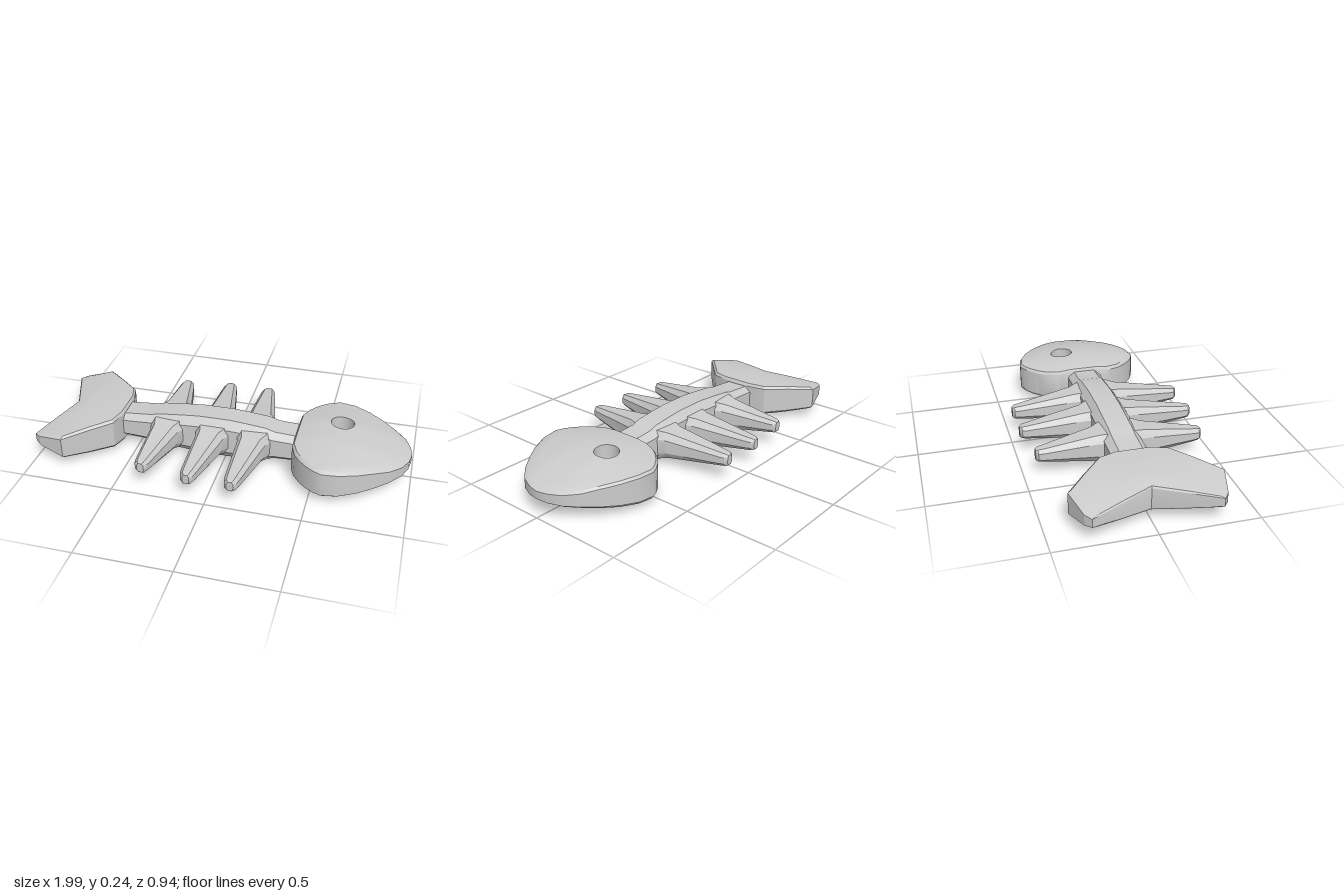
import * as THREE from 'three';
import { mergeVertices, toCreasedNormals } from 'three/addons/utils/BufferGeometryUtils.js';

const MID = 0.118; // height of the plane the toy is mirrored about
const material = new THREE.MeshStandardMaterial({ color: 0xcccccc });

// piecewise linear lookup in [[x, value], ...]
function lookup(table, x) {
  if (x <= table[0][0]) return table[0][1];
  for (let i = 1; i < table.length; i++) {
    const [x0, v0] = table[i - 1], [x1, v1] = table[i];
    if (x <= x1) return v0 + (v1 - v0) * (x - x0) / (x1 - x0);
  }
  return table[table.length - 1][1];
}

// skin a row of equal cross-sections; closed joins last to first, otherwise ends are capped
function loft(rings, closed, crease) {
  const n = rings[0].length, pos = rings.flat(2), index = [];
  const last = closed ? rings.length : rings.length - 1;
  for (let r = 0; r < last; r++) {
    const a = r * n, b = ((r + 1) % rings.length) * n;
    for (let i = 0; i < n; i++) {
      const j = (i + 1) % n;
      index.push(a + i, a + j, b + j, a + i, b + j, b + i);
    }
  }
  if (!closed) {
    const e = (rings.length - 1) * n;
    for (let i = 1; i < n - 1; i++) index.push(0, i + 1, i, e, e + i, e + i + 1);
  }
  // turn the faces outwards when the enclosed volume is negative
  let volume = 0;
  const p = (i) => new THREE.Vector3().fromArray(pos, i * 3);
  for (let i = 0; i < index.length; i += 3) {
    volume += p(index[i]).dot(p(index[i + 1]).cross(p(index[i + 2])));
  }
  if (volume < 0) index.reverse();
  const g = new THREE.BufferGeometry();
  g.setAttribute('position', new THREE.Float32BufferAttribute(pos, 3));
  g.setIndex(index);
  return toCreasedNormals(mergeVertices(g), crease);
}

// domed slab with a plan outline; rings run outwards over the top and back below
function slab(outline, [cx, cz], innerRadius, half, closed, crease) {
  const levels = [[0, 1], [0.2, 1], [0.4, 1], [0.6, 1], [0.8, 1], [0.95, 1], [1, 0.84]];
  const ring = ([t, k], sign) => outline.map(([x, z]) => {
    const d = Math.hypot(x - cx, z - cz), s = (innerRadius + (d - innerRadius) * t) / d;
    const px = cx + (x - cx) * s, pz = cz + (z - cz) * s;
    return [px, MID + sign * k * half(px, pz), pz];
  });
  const rings = [
    ...levels.map((l) => ring(l, 1)),
    ...levels.slice().reverse().map((l) => ring(l, -1)),
  ];
  return loft(rings, closed, crease);
}

// mirror half an outline across z = 0; first and last points lie on the axis
function mirrored(points) {
  return [...points, ...points.slice(1, -1).reverse().map(([x, z]) => [x, -z])];
}

// chamfered rectangle with half sizes a and b
function octagon(a, b, ca, cb) {
  return [[a, cb], [ca, b], [-ca, b], [-a, cb], [-a, -cb], [-ca, -b], [ca, -b], [a, -cb]];
}

function addMesh(parent, name, geometry) {
  const mesh = new THREE.Mesh(geometry, material);
  mesh.name = name;
  parent.add(mesh);
  return mesh;
}

export function createModel() {
  const model = new THREE.Group();
  model.name = 'fishBone';

  // head, with the eye as a hole right through
  const headOutline = mirrored([
    [0.38, 0], [0.38, 0.08], [0.38, 0.15], [0.405, 0.215], [0.44, 0.262], [0.48, 0.3],
    [0.52, 0.327], [0.565, 0.346], [0.65, 0.334], [0.74, 0.295], [0.82, 0.245],
    [0.89, 0.195], [0.95, 0.13], [0.98, 0.06], [0.99, 0],
  ]);
  const headHeight = [[0.38, 0.092], [0.43, 0.101], [0.5, 0.11], [0.58, 0.113], [0.68, 0.107],
    [0.8, 0.083], [0.9, 0.053], [0.96, 0.036], [0.99, 0.025]];
  const headHalf = (x, z) => lookup(headHeight, x) - 0.14 * Math.max(0, Math.abs(z) - 0.09);
  addMesh(model, 'head', slab(headOutline, [0.61, -0.085], 0.063, headHalf, true, 0.55));

  // forked tail fin
  const tailOutline = mirrored([
    [-0.575, 0], [-0.575, 0.09], [-0.6, 0.18], [-0.71, 0.28], [-0.82, 0.378],
    [-0.965, 0.338], [-1, 0.31], [-0.94, 0.155], [-0.88, 0],
  ]);
  const tailHeight = [[-1, 0.034], [-0.82, 0.077], [-0.7, 0.088], [-0.575, 0.091]];
  const tailHalf = (x, z) => lookup(tailHeight, x) - 0.04 * Math.max(0, Math.abs(z) - 0.1);
  addMesh(model, 'tail', slab(tailOutline, [-0.77, 0], 0.01, tailHalf, false, 0.4));

  // arched backbone
  const spineHeight = [[-0.62, 0.066], [-0.5, 0.076], [-0.42, 0.083], [-0.38, 0.094], [-0.25, 0.108],
    [-0.15, 0.117], [0.02, 0.118], [0.1, 0.112], [0.22, 0.1], [0.27, 0.084], [0.42, 0.076]];
  addMesh(model, 'spine', loft(spineHeight.map(([x, h]) =>
    octagon(0.095, h, 0.06, h * 0.6).map(([z, y]) => [x, MID + y, z])), false, 0.5));

  // three pairs of tapering ribs: [x at the tip's tail side, reach]
  const ribs = [[-0.395, 0.437], [-0.14, 0.472], [0.09, 0.472]];
  for (const [x0, reach] of ribs) {
    // sections: [z, tail-side offset, head-side offset, half height]
    const sections = [
      [0.04, -0.025, 0.175, 0.082], [0.09, -0.02, 0.165, 0.08], [0.13, -0.01, 0.142, 0.072],
      [reach - 0.035, 0, 0.078, 0.036], [reach - 0.012, 0.006, 0.07, 0.033], [reach, 0.02, 0.056, 0.027],
    ];
    for (const side of [1, -1]) {
      const rings = sections.map(([z, l, r, h]) => {
        const w = (r - l) / 2, c = x0 + (l + r) / 2;
        return octagon(w, h, Math.max(w - 0.025, w * 0.55), h * 0.5)
          .map(([x, y]) => [c + x, MID + y, side * z]);
      });
      addMesh(model, side > 0 ? 'frontRib' : 'backRib', loft(rings, false, 0.5));
    }
  }
  return model;
}
